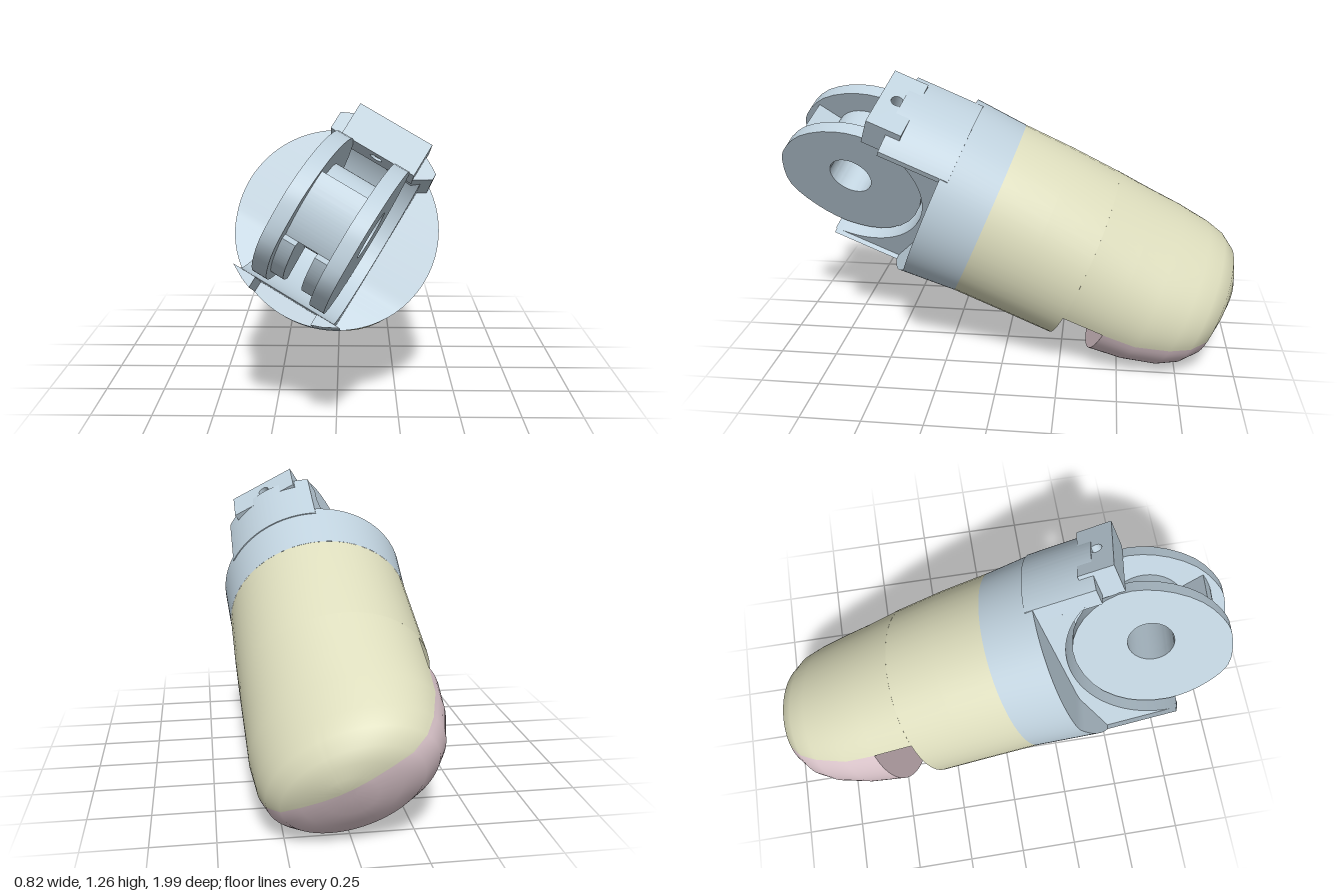
import * as THREE from 'three';
import { toCreasedNormals } from 'three/addons/utils/BufferGeometryUtils.js';

const ROLL = 0.54, PITCH = -0.4, HINGE = 0.605;
const mat = (name, color) => Object.assign(new THREE.MeshStandardMaterial({ color }), { name });

// Fingertip stations: position along the axis, half width, top, bottom
const ROWS = [
  [0, .4, .39, .39], [-.23, .4, .377, .388], [-.457, .4, .352, .385], [-.637, .4, .32, .365],
  [-.78, .395, .3, .33], [-.92, .37, .28, .28], [-1, .335, .265, .23],
  [-1.06, .275, .235, .17], [-1.085, .19, .195, .1], [-1.105, .1, .155, .03], [-1.112, .03, .12, -.06],
];

// Height of the split between shell and pad
const split = s => 0.02 + 0.22 * Math.max(0, -0.75 - s);

// Arc of one station (0 whole, 1 upper, -1 lower)
function arc([s, w, top, bot], half, n = 48) {
  const h = (top + bot) / 2, c = (top - bot) / 2;
  const lim = Math.asin(THREE.MathUtils.clamp((split(s) - c) / h, -0.9, 0.9));
  let from = 0, to = Math.PI * 2 * (n - 1) / n;
  if (half) [from, to] = half > 0 ? [lim, Math.PI - lim] : [Math.PI - lim, Math.PI * 2 + lim];
  return Array.from({ length: n }, (_, i) => {
    const p = from + (to - from) * i / (n - 1);
    return [w * Math.cos(p), c + h * Math.sin(p), s];
  });
}

function build(points, index) {
  const g = new THREE.BufferGeometry();
  g.setAttribute('position', new THREE.Float32BufferAttribute(points.flat(), 3));
  g.setIndex(index);
  return toCreasedNormals(g, 0.6);
}

// Skin over closed rings, running from front to back
function loft(rings, caps = true) {
  const n = rings[0].length, idx = [], last = (rings.length - 1) * n;
  for (let i = 0; i < rings.length - 1; i++) {
    for (let j = 0; j < n; j++) {
      const a = i * n + j, b = i * n + (j + 1) % n;
      idx.push(a, a + n, b, b, a + n, b + n);
    }
  }
  if (caps) {
    for (let j = 1; j < n - 1; j++) idx.push(0, j, j + 1, last, last + j + 1, last + j);
  }
  return build(rings.flat(), idx);
}

const extrude = (shape, depth) =>
  new THREE.ExtrudeGeometry(shape, { depth, bevelEnabled: false, curveSegments: 32 });

// Side profile (forward, up) extruded across the hinge axis
function plate(shape, x0, x1) {
  const g = extrude(shape, x1 - x0);
  g.rotateY(-Math.PI / 2).translate(x1, 0, HINGE);
  return toCreasedNormals(g, 0.5);
}

// Cross-section (across, up) extruded along the finger
const bar = (shape, z0, z1) => toCreasedNormals(extrude(shape, z1 - z0).translate(0, 0, z0), 0.5);

// Ring sector in side profile
function sector(outer, inner, from, to) {
  const s = new THREE.Shape();
  s.absarc(0, 0, outer, from, to, false);
  s.absarc(0, 0, inner, to, from, true);
  return s;
}

function drill(shape, x, y, r) {
  shape.holes.push(new THREE.Path().absarc(x, y, r, 0, Math.PI * 2, true));
  return shape;
}

export function createModel() {
  const blue = mat('pale blue', 0xbfd1dd);
  const cream = mat('cream', 0xdcdcbc);
  const pink = mat('dusty pink', 0xdcc6cc);

  const finger = new THREE.Group();
  finger.name = 'fingertip';
  finger.position.set(0, 0.645, 0.08);
  finger.rotation.set(PITCH, 0, -ROLL);
  const add = (name, geometry, material) => {
    const m = new THREE.Mesh(geometry, material);
    m.name = name;
    finger.add(m);
  };

  // Cream shell: full sleeve, then the upper half out to the tip
  add('sleeve', loft(ROWS.slice(0, 3).map(r => arc(r, 0))), cream);
  add('upperShell', loft(ROWS.slice(2).map(r => arc(r, 1))), cream);
  // Pink pad below, set back to leave a notch
  add('pad', loft(ROWS.slice(3).map(r => arc(r, -1))), pink);

  // Blue collar, its front face curling forward at the bottom
  const front = y => 0.235 + 0.3 * Math.max(0, -y - 0.15);
  const n = 96, frontRing = [], backRing = [], idx = [];
  for (let i = 0; i < n; i++) {
    const p = -Math.PI / 2 + i / n * Math.PI * 2, c = Math.cos(p), s = Math.sin(p);
    backRing.push([0.4 * c, 0.39 * s, 0]);
    frontRing.push([0.412 * c, 0.412 * s, front(0.412 * s)]);
  }
  for (let k = 0; k < n / 2; k++) {
    const l = (n - k) % n, l2 = n - k - 1;
    idx.push(l, k, k + 1, l, k + 1, l2);
  }
  add('collar', loft([frontRing, backRing], false), blue);
  add('collarFace', build(frontRing, idx), blue);

  // Raised saddle curving round the back of the hinge
  const saddle = new THREE.Shape();
  saddle.moveTo(-0.45, -0.346);
  saddle.lineTo(0, -0.346);
  saddle.absarc(0, 0, 0.346, -Math.PI / 2, 2.1 - Math.PI * 2, true);
  saddle.lineTo(-0.45, 0.298);
  add('saddle', plate(saddle, -0.2, 0.2), blue);

  // Lip below the hinge with a prong at each side
  const lip = new THREE.Shape();
  lip.absarc(0, 0, 0.412, 0.993 - Math.PI, -0.993, false);
  add('lip', bar(lip, 0.27, 0.4), blue);
  for (const side of [-1, 1]) {
    const prong = new THREE.Shape([[.13, -.345], [.13, -.39], [.17, -.375], [.225, -.345]]
      .map(([x, y]) => new THREE.Vector2(side * x, y)));
    add('lipProng', bar(prong, 0.3, 0.6), blue);
  }

  // Hood carrying the collar's curve over the hinge
  const hood = new THREE.Shape();
  hood.moveTo(-0.2, 0.29);
  hood.lineTo(0.17, 0.275);
  hood.lineTo(0.235, 0.315);
  hood.absarc(0, 0, 0.413, 0.967, 2.075, false);
  add('hood', bar(hood, 0.2, 0.5), blue);

  // Stop block at the front of the hood, with a pin hole
  const block = new THREE.Shape([[-.14, -.59], [.17, -.59], [.17, -.44], [-.14, -.44]]
    .map(p => new THREE.Vector2(...p)));
  const blockGeo = extrude(drill(block, 0.01, -0.52, 0.025), 0.135);
  blockGeo.rotateX(-Math.PI / 2).translate(0, 0.272, 0);
  add('stopBlock', blockGeo, blue);

  // Two hinge cheeks, flattened at the upper front
  const outline = [[.306, -.112], [.255, -.235], [.12, -.31], [-.03, -.33], [-.19, -.275], [-.3, -.14],
    [-.315, .07], [-.21, .212], [-.04, .275], [.108, .235], [.249, .116], [.311, -.03]]
    .map(([x, y]) => new THREE.Vector3(x, y, 0));
  const curve = new THREE.CatmullRomCurve3(outline, true);
  const rim = curve.getPoints(36).slice(0, -1).map(p => new THREE.Vector2(p.x, p.y)).reverse();
  for (const side of [-1, 1]) {
    const x = side * 0.12;
    add('hingeCheek', plate(drill(new THREE.Shape(rim), 0, 0, 0.095), x - 0.03, x + 0.03), blue);
    // Walls either side of the cord channel
    const w = side * 0.068;
    add('channelWall', plate(sector(0.3, 0.14, -1.9, -0.7), w - 0.03, w + 0.03), blue);
  }

  // Bored spool between the cheeks, thickened at the front
  const spool = new THREE.Shape().absarc(0, 0, 0.16, 0, Math.PI * 2, false);
  add('spool', plate(drill(spool, 0, 0, 0.095), -0.1, 0.1), blue);
  add('spoolFront', plate(sector(0.27, 0.14, -0.7, 0.25), -0.1, 0.1), blue);

  const model = new THREE.Group();
  model.name = 'fingertipModel';
  model.add(finger);
  return model;
}
